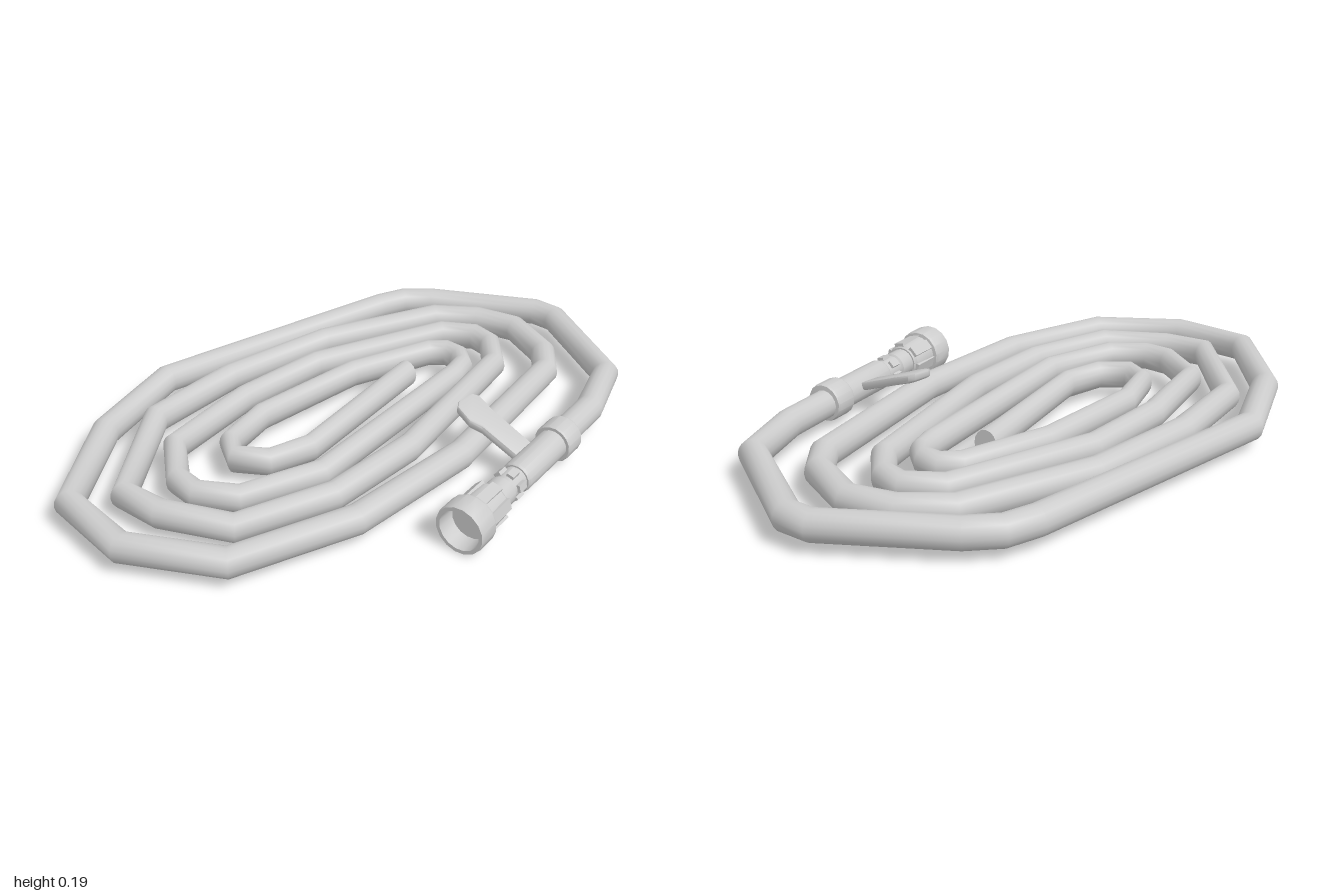
import * as THREE from 'three';
import { toCreasedNormals } from 'three/addons/utils/BufferGeometryUtils.js';

const material = new THREE.MeshStandardMaterial({ color: 0xcccccc });
const HOSE_Y = 0.08;

function add(parent, name, geometry) {
  const mesh = new THREE.Mesh(geometry, material);
  mesh.name = name;
  parent.add(mesh);
  return mesh;
}

// Hose centreline as x, z pairs, from the loose inner end out to the fitting
const path = [
  0.28, -0.165, -0.24, 0, -0.38, -0.015, -0.455, -0.09, -0.425, -0.17, -0.265, -0.24,
  0.13, -0.275, 0.425, -0.225, 0.475, -0.185, 0.485, -0.13, 0.455, -0.08, 0.39, -0.05,
  -0.29, 0.13, -0.55, 0.085, -0.64, -0.01, -0.65, -0.10, -0.57, -0.26, -0.25, -0.365,
  0.065, -0.40, 0.55, -0.30, 0.63, -0.21, 0.63, -0.13, 0.55, -0.025,
  0.005, 0.185, -0.325, 0.24, -0.635, 0.19, -0.77, 0.005, -0.81, -0.135, -0.54, -0.435,
  -0.215, -0.51, 0.18, -0.515, 0.61, -0.41, 0.725, -0.30, 0.785, -0.165, 0.74, 0.025, 0.66, 0.115,
  0.105, 0.31, -0.34, 0.37, -0.73, 0.305, -0.93, 0.07, -0.955, -0.195, -0.70, -0.47,
  -0.39, -0.63, 0.50, -0.60, 0.60, -0.58, 0.685, -0.515, 0.935, -0.215, 0.952, -0.13,
  0.81, 0.255, 0.61, 0.37, 0.40, 0.432,
];

// Straight lengths with mitred joints and smooth shading, capped at both ends
function hoseGeometry() {
  const sides = 16, rise = 0.047;
  const pts = [];
  for (let i = 0; i < path.length; i += 2) pts.push(new THREE.Vector2(path[i], path[i + 1]));
  const n = pts.length;
  const dirs = pts.slice(1).map((p, i) => p.clone().sub(pts[i]).normalize());
  const position = [], normal = [], index = [];

  // A ring of vertices at point i; facing -1 or 1 makes the normals those of an end cap
  const ring = (i, facing = 0) => {
    const base = position.length / 3;
    const t = dirs[Math.max(i - 1, 0)].clone().add(dirs[Math.min(i, n - 2)]).normalize();
    const w = i === 0 ? 0.038 : 0.033 + 0.012 * Math.min(1, i / (n * 0.75));
    for (let k = 0; k <= sides; k++) {
      const a = (k / sides) * Math.PI * 2, c = Math.cos(a), s = Math.sin(a);
      position.push(pts[i].x - t.y * w * c, HOSE_Y + rise * s, pts[i].y + t.x * w * c);
      if (facing) normal.push(t.x * facing, 0, t.y * facing);
      else normal.push(-t.y * c, s, t.x * c);
    }
    return base;
  };
  for (let i = 0; i < n; i++) {
    const base = ring(i);
    if (i === 0) continue;
    for (let k = 0; k < sides; k++) {
      const b = base + k, a = b - sides - 1;
      index.push(a, b, a + 1, a + 1, b, b + 1);
    }
  }
  const startCap = ring(0, -1), endCap = ring(n - 1, 1);
  for (let k = 1; k < sides - 1; k++) {
    index.push(startCap, startCap + k, startCap + k + 1);
    index.push(endCap, endCap + k + 1, endCap + k);
  }

  const g = new THREE.BufferGeometry();
  g.setAttribute('position', new THREE.Float32BufferAttribute(position, 3));
  g.setAttribute('normal', new THREE.Float32BufferAttribute(normal, 3));
  g.setIndex(index);
  // The cross-section runs z to y, so the ring turns against the path: caps follow suit
  return g;
}

function turned(profile) {
  const pts = profile.map(([r, y]) => new THREE.Vector2(r, y));
  return toCreasedNormals(new THREE.LatheGeometry(pts, 16), 0.5);
}

// Blocks set evenly around the fitting's axis
function ribs(parent, name, count, radius, y, size) {
  for (let i = 0; i < count; i++) {
    const a = (i / count) * Math.PI * 2;
    const rib = add(parent, name, new THREE.BoxGeometry(...size));
    rib.position.set(Math.sin(a) * radius, y, Math.cos(a) * radius);
    rib.rotation.y = a;
  }
}

// Nozzle and valve, built along +y from the open mouth towards the hose
function buildFitting() {
  const fitting = new THREE.Group();
  fitting.name = 'fitting';
  add(fitting, 'nozzleHead', turned([
    [0, 0.06], [0.062, 0.06], [0.066, 0], [0.078, 0], [0.08, 0.008], [0.08, 0.07],
    [0.076, 0.078], [0.064, 0.08], [0.06, 0.17], [0.052, 0.18], [0, 0.18],
  ]));
  ribs(fitting, 'gripRib', 6, 0.056, 0.125, [0.036, 0.1, 0.02]);
  add(fitting, 'neck', turned([
    [0.047, 0.175], [0.047, 0.235], [0.041, 0.24], [0.041, 0.31], [0.047, 0.315],
  ]));
  ribs(fitting, 'neckLug', 6, 0.041, 0.272, [0.024, 0.036, 0.018]);
  add(fitting, 'valveBody', turned([
    [0, 0.308], [0.046, 0.308], [0.05, 0.316], [0.05, 0.545],
  ]));
  add(fitting, 'hoseCollar', turned([
    [0.048, 0.53], [0.06, 0.53], [0.063, 0.536], [0.063, 0.604], [0.06, 0.61], [0.04, 0.612],
  ]));
  fitting.position.set(-0.146, 0.082, 0.589);
  fitting.quaternion.setFromUnitVectors(
    new THREE.Vector3(0, 1, 0), new THREE.Vector3(0.963, 0, -0.271).normalize());
  return fitting;
}

// Thick paddle lever that climbs towards the back
function leverGeometry() {
  const outline = [
    [0.166, 0.22], [0.187, 0.203], [0.246, 0.198], [0.262, 0.214], [0.267, 0.283],
    [0.294, 0.43], [0.214, 0.44], [0.187, 0.315], [0.166, 0.278],
  ];
  const shape = new THREE.Shape(outline.map(([x, z]) => new THREE.Vector2(x, -z)));
  const g = new THREE.ExtrudeGeometry(shape, {
    depth: 0.014, bevelThickness: 0.008, bevelSize: 0.008, bevelOffset: -0.008, bevelSegments: 2,
  });
  g.rotateX(-Math.PI / 2);
  const p = g.attributes.position;
  for (let i = 0; i < p.count; i++) {
    p.setY(i, p.getY(i) + 0.172 - 0.37 * (p.getZ(i) - 0.2));
  }
  return toCreasedNormals(g, 0.7);
}

export function createModel() {
  const model = new THREE.Group();
  model.name = 'coiledHose';
  add(model, 'hose', hoseGeometry());
  model.add(buildFitting());
  add(model, 'valveLever', leverGeometry());
  return model;
}
